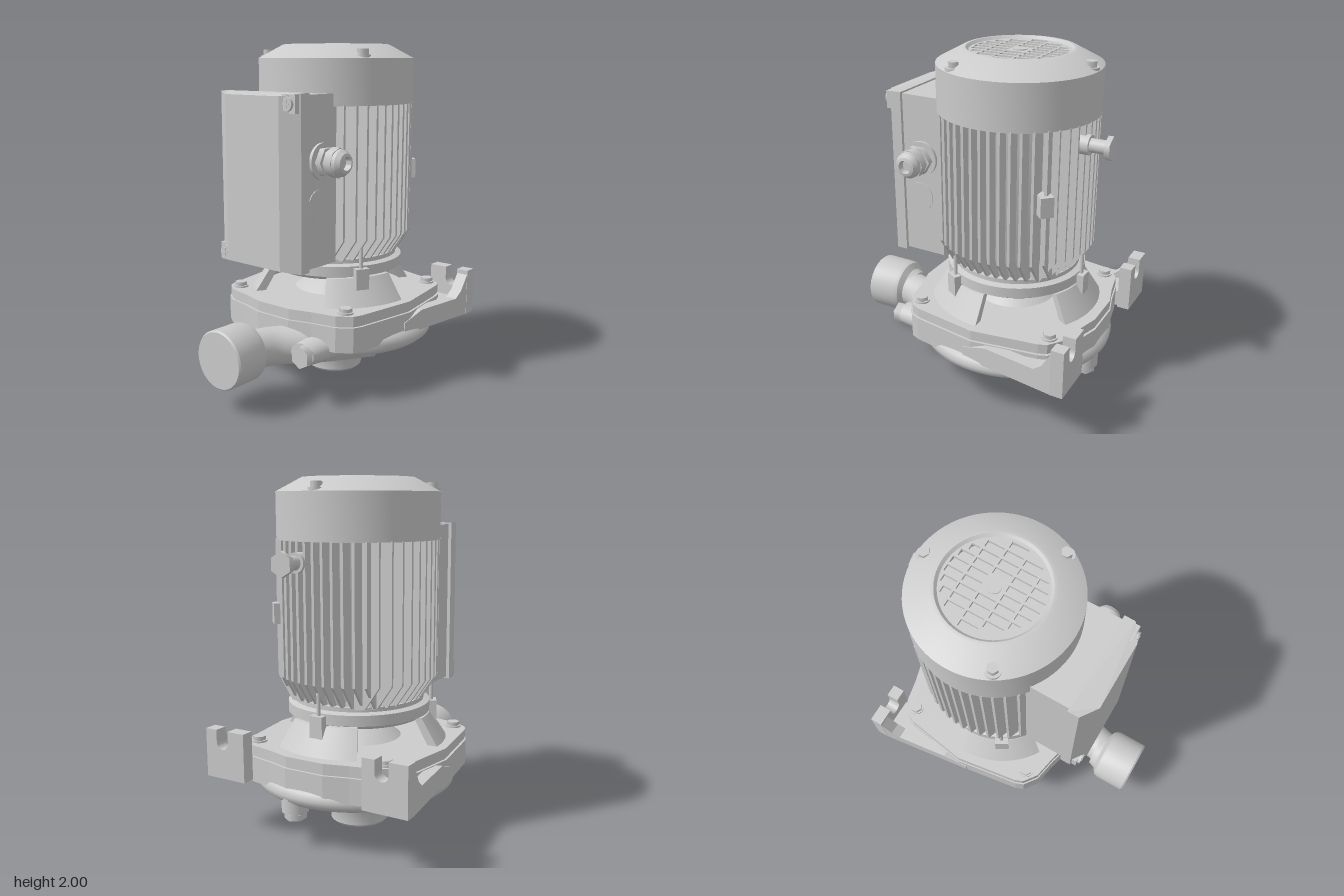
import * as THREE from 'three';
import { toCreasedNormals } from 'three/addons/utils/BufferGeometryUtils.js';

const grey = new THREE.MeshStandardMaterial({ color: 0xcccccc });
const greyDouble = new THREE.MeshStandardMaterial({ color: 0xcccccc, side: THREE.DoubleSide });
const AXIS_Z = -0.2;

export function createModel() {
  const root = new THREE.Group();
  root.name = 'pumpWithMotor';
  const unit = new THREE.Group(); // everything centred on the shaft
  unit.name = 'shaftAssembly';
  unit.position.z = AXIS_Z;
  root.add(unit);

  const add = (parent, name, geo, mat = grey) => {
    const m = new THREE.Mesh(geo, mat);
    m.name = name;
    parent.add(m);
    return m;
  };
  const v2 = (pts) => pts.map(([a, b]) => new THREE.Vector2(a, b));
  const crease = (g) => toCreasedNormals(g, 0.5);
  const lathe = (pts, seg = 72, start = 0, len = Math.PI * 2) =>
    crease(new THREE.LatheGeometry(v2(pts), seg, start, len));
  const extrude = (shape, depth) =>
    new THREE.ExtrudeGeometry(shape, { depth, bevelEnabled: false, curveSegments: 40 });
  // plan outline (x, z) raised from y0 to y1
  const slab = (shape, y0, y1) => extrude(shape, y1 - y0).rotateX(Math.PI / 2).translate(0, y1, 0);
  const box = (parent, name, w, h, d, x, y, z) =>
    add(parent, name, new THREE.BoxGeometry(w, h, d).translate(x, y, z));
  // cylinder centred on a point along axis 'x', 'y' or 'z'
  const rod = (parent, name, r, len, axis, x, y, z, sides = 32, r2 = r) => {
    const g = new THREE.CylinderGeometry(r2, r, len, sides);
    if (axis === 'x') g.rotateZ(-Math.PI / 2);
    if (axis === 'z') g.rotateX(Math.PI / 2);
    return add(parent, name, g.translate(x, y, z));
  };

  // --- Motor housing with cooling fins ---
  add(unit, 'motorCore', lathe([[0.34, 0.72], [0.345, 0.78], [0.395, 0.9], [0.395, 1.68]]));
  const fin = (d, angle) => {
    const reach = Math.sqrt(0.46 ** 2 - d * d);
    const inner = Math.sqrt(0.345 ** 2 - d * d) - 0.03;
    const s = new THREE.Shape(v2([[inner, 0.75], [reach - 0.09, 0.77], [reach, 0.9], [reach, 1.665], [inner, 1.665]]));
    add(unit, 'coolingFin', extrude(s, 0.016).translate(0, 0, d - 0.008)).rotation.y = angle;
  };
  for (let i = -6; i <= 6; i++) {
    fin(i * 0.054, 0);
    fin(i * 0.054, Math.PI);
    if (Math.abs(i) < 6) fin(i * 0.054, Math.PI / 2);
  }

  // --- Fan cover and grille ---
  add(unit, 'fanCover', lathe([[0.39, 1.66], [0.46, 1.66], [0.46, 1.92], [0.315, 1.998],
    [0.295, 2], [0.28, 1.985], [0.28, 1.93], [0, 1.93]]));
  const grille = new THREE.Shape().absarc(0, 0, 0.285, 0, Math.PI * 2);
  for (let c = -5; c <= 4; c++) {
    const x0 = c * 0.054 + 0.008, x1 = x0 + 0.038;
    const lim = Math.sqrt(0.268 ** 2 - Math.max(Math.abs(x0), Math.abs(x1)) ** 2);
    for (let r = 0; r < 5; r++) {
      const z0 = Math.max(-0.27 + r * 0.11, -lim), z1 = Math.min(-0.172 + r * 0.11, lim);
      const nearHub = r === 2 && (c === 0 || c === -1);
      if (z1 - z0 < 0.015 || nearHub) continue;
      grille.holes.push(new THREE.Path(v2([[x0, z0], [x0, z1], [x1, z1], [x1, z0]])));
    }
  }
  add(unit, 'fanGrille', slab(grille, 1.968, 1.985));
  rod(unit, 'grilleHub', 0.038, 0.01, 'y', 0, 1.985, 0);

  // --- Cover screws, tie rods and lugs at three positions ---
  for (const a of [60, -60, 180]) {
    const g = new THREE.Group();
    g.name = 'tieRodSet';
    g.rotation.y = THREE.MathUtils.degToRad(a);
    unit.add(g);
    rod(g, 'screwSeat', 0.045, 0.04, 'y', 0, 1.918, 0.412);
    rod(g, 'coverScrew', 0.032, 0.05, 'y', 0, 1.945, 0.412, 6);
    rod(g, 'tieRod', 0.011, 0.96, 'y', 0, 1.19, 0.42, 12);
    box(g, 'tieRodLug', 0.08, 0.13, 0.09, 0, 0.665, 0.405);
  }

  // --- Lower motor flange ---
  add(unit, 'motorFlange', lathe([[0, 0.655], [0.37, 0.655], [0.385, 0.675], [0.41, 0.68], [0.41, 0.74],
    [0.375, 0.75], [0.375, 0.775], [0, 0.775]]));

  // --- Lantern walls with open windows between them ---
  const wall = [[0.45, 0.515], [0.51, 0.515], [0.41, 0.67], [0.36, 0.67], [0.45, 0.515]];
  for (const [from, to] of [[32, 90], [-90, -32], [150, 210]]) {
    const a = THREE.MathUtils.degToRad(from), b = THREE.MathUtils.degToRad(to);
    add(unit, 'lanternWall', lathe(wall, 20, a, b - a), greyDouble);
    for (const e of [a, b])
      add(unit, 'lanternWallEnd', new THREE.ShapeGeometry(new THREE.Shape(v2(wall))), greyDouble).rotation.y = e - Math.PI / 2;
  }
  add(unit, 'sealHousing', lathe([[0.25, 0.515], [0.22, 0.54], [0.12, 0.61], [0.09, 0.62], [0, 0.62]], 48));
  rod(unit, 'shaft', 0.06, 0.08, 'y', 0, 0.63, 0);

  // --- Pump flanges ---
  const quarter = [[0.57, 0], [0.51, 0.39], [0.49, 0.44], [0.41, 0.5], [0.26, 0.53], [0.12, 0.57]];
  const outline = (k) => new THREE.Shape(v2([
    ...quarter, ...quarter.slice(1).reverse().map(([x, z]) => [-x, z]),
    ...quarter.map(([x, z]) => [-x, -z]), ...quarter.slice(1).reverse().map(([x, z]) => [x, -z]),
  ].map(([x, z]) => [x * k, z * k])));
  add(unit, 'lowerFlange', slab(outline(1), 0.31, 0.455));
  add(unit, 'flangeJoint', slab(outline(0.975), 0.45, 0.47));
  add(unit, 'upperFlange', slab(outline(0.99), 0.465, 0.52));
  for (const x of [-0.415, 0.415]) for (const z of [-0.415, 0.415]) {
    rod(unit, 'boltWasher', 0.045, 0.012, 'y', x, 0.524, z, 24);
    rod(unit, 'flangeBolt', 0.038, 0.035, 'y', x, 0.535, z, 6);
  }

  // --- Volute casing with inlet neck, slightly off-centre at the rim ---
  const volute = new THREE.LatheGeometry(v2([[0, 0.12], [0.12, 0.12], [0.12, 0], [0.155, 0], [0.17, 0.015],
    [0.172, 0.1], [0.185, 0.125], [0.22, 0.145], [0.5, 0.237], [0.545, 0.25], [0.575, 0.275],
    [0.582, 0.305], [0.57, 0.34], [0.53, 0.365], [0.4, 0.38]]), 80);
  const p = volute.attributes.position;
  for (let i = 0; i < p.count; i++) {
    const k = Math.max(0, Math.hypot(p.getX(i), p.getZ(i)) - 0.2) / 0.38;
    p.setXYZ(i, p.getX(i) + 0.017 * k, p.getY(i), p.getZ(i) - 0.014 * k);
  }
  add(unit, 'voluteCasing', toCreasedNormals(volute, 0.7));

  // --- Outlet pipe and socket ---
  const path = new THREE.CatmullRomCurve3([[0.4, 0.3, -0.05], [0.2, 0.3, 0.25], [0.06, 0.305, 0.43], [0.01, 0.31, 0.6]]
    .map((q) => new THREE.Vector3(...q)));
  add(root, 'outletPipe', new THREE.TubeGeometry(path, 30, 0.11, 32));
  add(root, 'outletSocket', lathe([[0, -0.02], [0.11, -0.02], [0.125, 0.02], [0.16, 0.045], [0.168, 0.07],
    [0.168, 0.245], [0.16, 0.255], [0, 0.255]], 48).rotateX(Math.PI / 2).translate(0, 0.308, 0.545));

  // --- Side plug and drain plug ---
  add(root, 'plugBoss', new THREE.CylinderGeometry(0.075, 0.1, 0.24, 32).rotateX(Math.PI / 2)
    .scale(1.1, 0.85, 1).translate(0.28, 0.305, 0.31));
  rod(root, 'sidePlug', 0.065, 0.05, 'z', 0.3, 0.305, 0.45, 6);
  rod(root, 'drainBoss', 0.075, 0.12, 'y', 0.1, 0.26, -0.71);
  rod(root, 'drainCollar', 0.045, 0.04, 'y', 0.1, 0.195, -0.71);
  rod(root, 'drainPlug', 0.062, 0.035, 'y', 0.1, 0.175, -0.71, 6);

  // --- Mounting feet: slotted plate and tapered arm, mirrored ---
  for (const s of [-1, 1]) {
    const foot = new THREE.Group();
    foot.name = s > 0 ? 'leftFoot' : 'rightFoot';
    root.add(foot);
    const plate = new THREE.Shape(v2([[0.38, 0.33], [0.645, 0.33], [0.645, 0.61], [0.57, 0.61], [0.57, 0.54]]));
    plate.absarc(0.53, 0.54, 0.04, 0, Math.PI, true);
    plate.lineTo(0.49, 0.61);
    plate.lineTo(0.38, 0.61);
    add(foot, 'slottedPlate', extrude(plate, 0.075).translate(s > 0 ? 0 : -1.025, 0, -0.8)).position.x = 0;
    const arm = extrude(new THREE.Shape(v2([[-0.74, 0.33], [-0.15, 0.33], [-0.15, 0.4], [-0.3, 0.45],
      [-0.62, 0.45], [-0.67, 0.49], [-0.74, 0.61]])), 0.07).rotateY(-Math.PI / 2); // profile x -> z
    const a = arm.attributes.position;
    for (let i = 0; i < a.count; i++) // lean the arm in towards the casing
      a.setX(i, a.getX(i) + s * 0.61 + 0.035 - s * 0.13 * (a.getZ(i) + 0.74));
    arm.computeVertexNormals();
    add(foot, 'footArm', arm, greyDouble);
    const web = new THREE.Shape(v2([[0.4, -0.75], [0.62, -0.75], [0.57, -0.35], [0.4, -0.45]].map(([x, z]) => [s * x, z])));
    add(foot, 'footWeb', slab(web, 0.33, 0.43));
  }

  // --- Terminal box ---
  const terminal = new THREE.Group();
  terminal.name = 'terminalBox';
  root.add(terminal);
  box(terminal, 'boxBody', 0.56, 0.95, 0.25, 0, 1.255, 0.265);
  const cover = new THREE.Shape(v2([[-0.3, 0.39], [0.3, 0.39], [0.3, 0.455], [0.2, 0.52], [-0.2, 0.52], [-0.3, 0.455]]));
  const coverGeo = slab(cover, 0.77, 1.74);
  const c = coverGeo.attributes.position;
  for (let i = 0; i < c.count; i++) // draft on the top and bottom edges
    if (c.getZ(i) > 0.5) c.setY(i, c.getY(i) + (c.getY(i) > 1.2 ? -0.015 : 0.015));
  coverGeo.computeVertexNormals();
  add(terminal, 'boxCover', coverGeo);
  for (const [x, y] of [[0.24, 1.685], [-0.24, 0.825]]) {
    box(terminal, 'screwCorner', 0.1, 0.1, 0.07, x, y, 0.455);
    rod(terminal, 'coverScrew', 0.038, 0.02, 'z', x, y, 0.497, 24);
    box(terminal, 'screwCross', 0.045, 0.01, 0.006, x, y, 0.508);
    box(terminal, 'screwCross', 0.01, 0.045, 0.006, x, y, 0.508);
  }
  rod(terminal, 'knockout', 0.085, 0.008, 'x', 0.28, 1.13, 0.29);

  // --- Cable gland ---
  rod(terminal, 'glandSeat', 0.1, 0.025, 'x', 0.285, 1.37, 0.27);
  rod(terminal, 'glandHex', 0.085, 0.035, 'x', 0.325, 1.37, 0.27, 6);
  rod(terminal, 'glandNeck', 0.055, 0.04, 'x', 0.35, 1.37, 0.27);
  rod(terminal, 'glandNut', 0.083, 0.05, 'x', 0.385, 1.37, 0.27, 8);
  add(terminal, 'glandCap', lathe([[0.075, 0], [0.073, 0.025], [0.055, 0.05], [0.038, 0.055], [0.034, 0.02], [0, 0.02]], 32)
    .rotateZ(-Math.PI / 2).translate(0.405, 1.37, 0.27));

  // --- Rear fitting and small side block ---
  rod(root, 'rearFittingBase', 0.055, 0.06, 'z', 0.1, 1.55, -0.645);
  rod(root, 'rearFittingStem', 0.038, 0.16, 'z', 0.1, 1.55, -0.7);
  rod(root, 'rearFittingHead', 0.068, 0.03, 'z', 0.1, 1.55, -0.782, 6);
  const block = box(unit, 'sideBlock', 0.075, 0.115, 0.1, 0, 1.255, 0.44);
  block.rotation.y = Math.PI * 0.75;

  return root;
}
